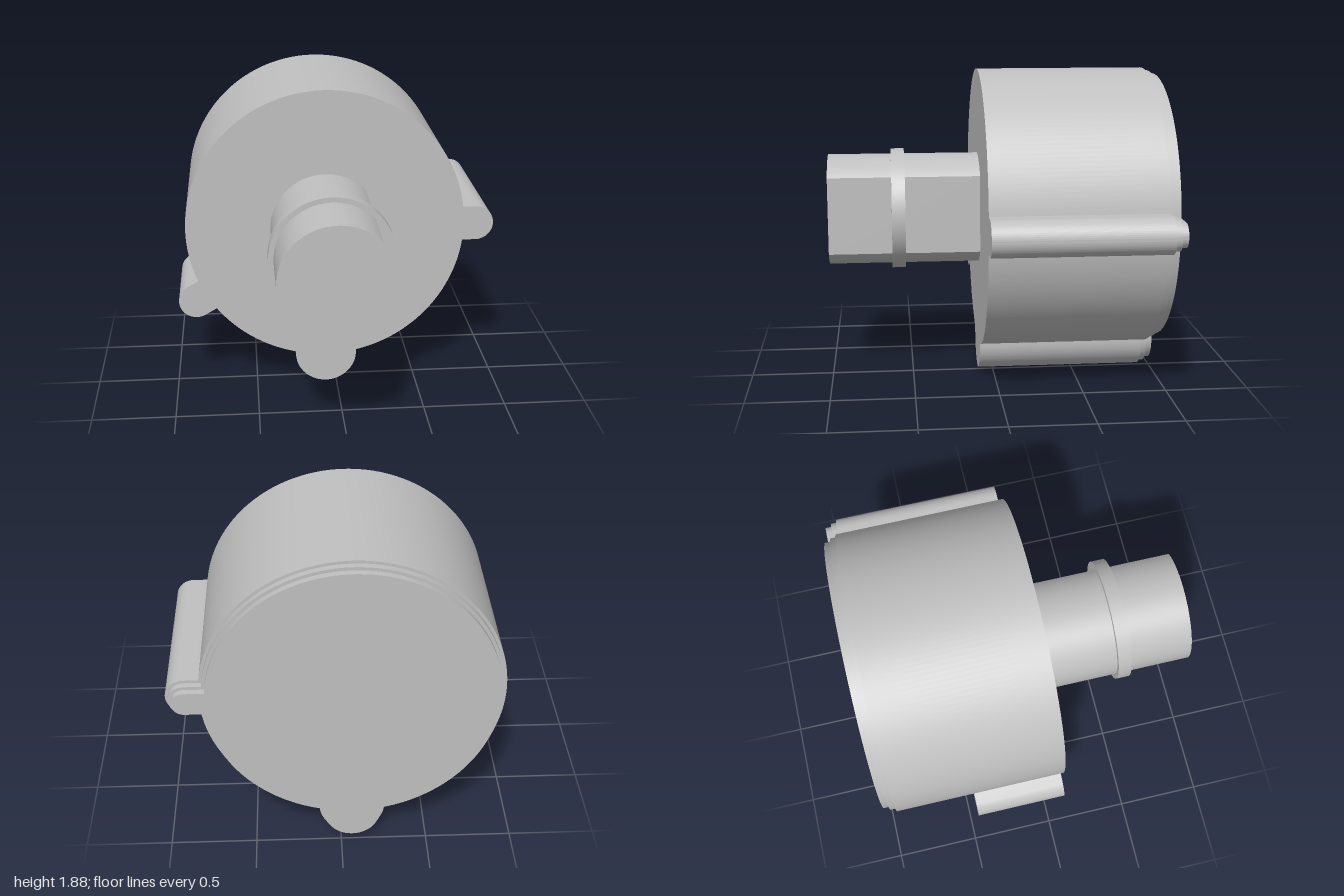
import * as THREE from 'three';
import { toCreasedNormals } from 'three/addons/utils/BufferGeometryUtils.js';

const R = 0.85; // housing radius
const LOBES = [
  { angle: -Math.PI / 2, dist: 0.845, w: 0.19 }, // bottom lobe
  { angle: 0, dist: 0.925, w: 0.107 },           // side lobe
];

// Round housing outline with rounded lobes, shrunk by an inset
function housingShape(inset) {
  const s = new THREE.Shape();
  const r = R - inset;
  LOBES.forEach((l, i) => {
    const w = l.w - inset;
    const half = Math.asin(w / r);
    const next = LOBES[(i + 1) % LOBES.length];
    let end = next.angle - Math.asin((next.w - inset) / r);
    if (end < l.angle) end += Math.PI * 2;
    s.absarc(l.dist * Math.cos(l.angle), l.dist * Math.sin(l.angle), w,
      l.angle - Math.PI / 2, l.angle + Math.PI / 2, false);
    s.absarc(0, 0, r, l.angle + half, end, false);
  });
  s.closePath();
  return s;
}

// Short rib whose inner side follows the housing wall
function ribShape(dist, w) {
  const s = new THREE.Shape();
  const half = Math.asin(w / R);
  s.absarc(dist, 0, w, -Math.PI / 2, Math.PI / 2, false);
  s.absarc(0, 0, R, half, -half, true);
  s.closePath();
  return s;
}

// Round shaft section with one flat side
function shaftShape(r, flat) {
  const a = Math.acos(flat / r);
  const s = new THREE.Shape();
  s.absarc(0, 0, r, a, Math.PI * 2 - a, false);
  s.closePath();
  return s;
}

export function createModel() {
  const grey = new THREE.MeshStandardMaterial({ color: 0xc0c0c0 });
  grey.name = 'grey';
  const model = new THREE.Group();
  model.name = 'model';

  const add = (name, shape, z0, z1) => {
    const geo = new THREE.ExtrudeGeometry(shape, { depth: z1 - z0, bevelEnabled: false, curveSegments: 64 });
    const mesh = new THREE.Mesh(toCreasedNormals(geo, 0.4), grey);
    mesh.name = name;
    mesh.position.set(-0.065, 1.035, z0);
    model.add(mesh);
    return mesh;
  };

  // Housing with two stepped layers at the back
  add('housing', housingShape(0), -0.927, 0.09);
  add('backStep', housingShape(0.017), -0.963, -0.927);
  add('backCover', housingShape(0.036), -1, -0.963);

  // Short rib, 30 degrees below horizontal
  add('shortRib', ribShape(0.924, 0.107), -0.455, 0.09).rotation.z = Math.PI * 7 / 6;

  // Flatted shaft and its collar
  add('shaft', shaftShape(0.336, 0.243), 0.09, 1);
  add('collar', new THREE.Shape().absarc(0, 0, 0.367, 0, Math.PI * 2, false), 0.54, 0.62);

  return model;
}
